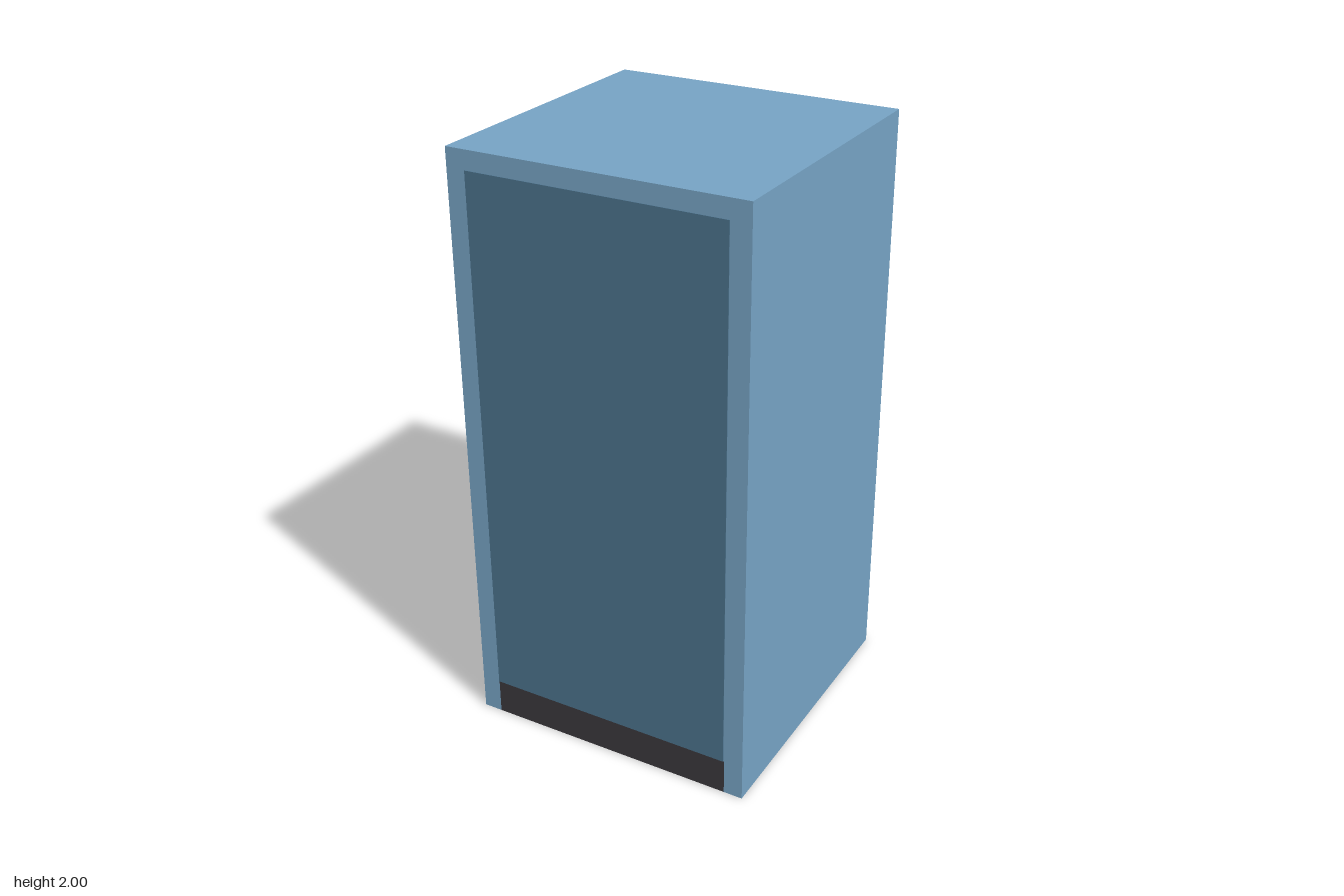
import * as THREE from 'three';

const mat = (name, color) => {
  const m = new THREE.MeshStandardMaterial({ color });
  m.name = name;
  return m;
};

export function createModel() {
  const blue = mat('blue paint', 0x76a3c4);
  const darkBlue = mat('dark blue', 0x4b728c);
  const charcoal = mat('charcoal', 0x3b373c);
  const grey = mat('light grey', 0xbcbfbe);
  const orange = mat('orange', 0xc6622b);

  const root = new THREE.Group();
  root.name = 'locker';

  // Box given by its limits on each axis
  const box = (name, material, [x0, x1], [y0, y1], [z0, z1], parent = root) => {
    const mesh = new THREE.Mesh(new THREE.BoxGeometry(x1 - x0, y1 - y0, z1 - z0), material);
    mesh.position.set((x0 + x1) / 2, (y0 + y1) / 2, (z0 + z1) / 2);
    mesh.name = name;
    parent.add(mesh);
    return mesh;
  };

  const back = -0.44, front = 0.56, inner = 0.435, kick = 0.123;

  // Cabinet with a channel along the bottom
  const outline = new THREE.Shape([
    [-0.5, 0], [-inner, 0], [-inner, kick], [inner, kick],
    [inner, 0], [0.5, 0], [0.5, 2], [-0.5, 2],
  ].map(([x, y]) => new THREE.Vector2(x, y)));
  const cabinet = new THREE.Mesh(
    new THREE.ExtrudeGeometry(outline, { depth: front - back, bevelEnabled: false }), blue);
  cabinet.position.z = back;
  cabinet.name = 'cabinet';
  root.add(cabinet);

  // Recessed plinth filling the channel, with a dark ceiling over the toe space
  box('plinth', charcoal, [-inner, inner], [0, kick], [-0.375, front]);
  box('toeSpaceCeiling', darkBlue, [-inner, inner], [kick - 0.003, kick], [back + 0.001, -0.375]);

  // Large inset panel on the front
  box('frontPanel', darkBlue, [-inner, inner - 0.003], [kick, 1.937], [front - 0.002, front + 0.002]);

  // Louvres in two banks on the door side, dark underneath
  const vents = new THREE.Group();
  vents.name = 'vents';
  root.add(vents);
  const ventMaterials = [blue, blue, blue, charcoal, blue, blue];
  for (const lowest of [0.3, 1.425]) {
    for (let i = 0; i < 4; i++) {
      const y = lowest + i * 0.125;
      box('vent', ventMaterials, [-0.25, 0.25], [y - 0.015, y + 0.015], [-0.47, back], vents);
    }
  }

  // Label holder with two dark slots at its lower edge
  box('labelHolder', grey, [-0.16, 0.16], [1.16, 1.31], [-0.47, back]);
  for (const x of [0, -0.13]) {
    box('labelSlot', charcoal, [x - 0.025, x + 0.025], [1.158, 1.21], [-0.472, -0.468]);
  }

  // Lock plate and latch
  box('lockPlate', grey, [-0.345, -0.225], [1.16, 1.31], [-0.47, back]);
  box('latch', orange, [-0.33, -0.237], [1.095, 1.19], [-0.5, -0.47]);

  // Handle bar on two mounts
  const handle = new THREE.Group();
  handle.name = 'handle';
  root.add(handle);
  box('handleBar', grey, [-0.345, -0.285], [0.725, 1.095], [-0.56, -0.5], handle);
  for (const y of [0.785, 1.035]) {
    box('handleMount', grey, [-0.345, -0.285], [y - 0.03, y + 0.03], [-0.5, back], handle);
  }

  return root;
}
